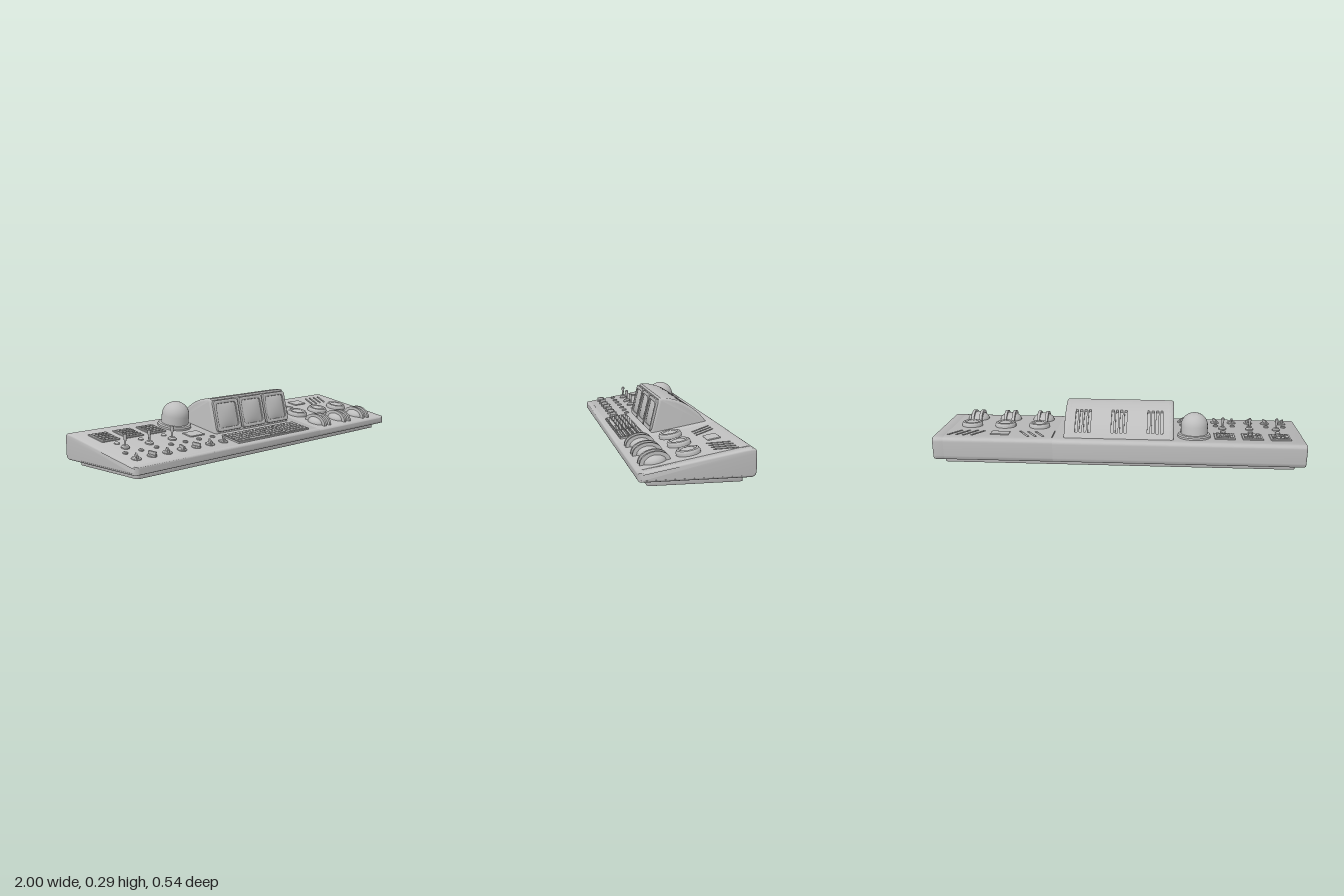
import * as THREE from 'three';
import { toCreasedNormals } from 'three/addons/utils/BufferGeometryUtils.js';
import { RoundedBoxGeometry } from 'three/addons/geometries/RoundedBoxGeometry.js';

const grey = new THREE.MeshStandardMaterial({ color: 0xbebebe });
grey.name = 'console grey';

function part(parent, name, geometry, x = 0, y = 0, z = 0) {
  const mesh = new THREE.Mesh(geometry, grey);
  mesh.name = name;
  mesh.position.set(x, y, z);
  parent.add(mesh);
  return mesh;
}

function group(parent, name, x = 0, y = 0, z = 0) {
  const g = new THREE.Group();
  g.name = name;
  g.position.set(x, y, z);
  parent.add(g);
  return g;
}

// Shape in (z, y), extruded across x from x0 to x1; limitX(z) optionally caps |x|
function across(shape, x0, x1, bevel = 0, limitX = null) {
  const geo = new THREE.ExtrudeGeometry(shape, {
    depth: x1 - x0 - 2 * bevel, bevelEnabled: bevel > 0, bevelThickness: bevel,
    bevelSize: bevel, bevelOffset: -bevel, bevelSegments: 4, curveSegments: 6
  });
  geo.translate(0, 0, -(x1 - x0) / 2 + bevel);
  geo.rotateY(-Math.PI / 2);
  geo.translate((x0 + x1) / 2, 0, 0);
  const pos = geo.attributes.position;
  for (let i = 0; limitX && i < pos.count; i++) {
    const m = limitX(pos.getZ(i));
    pos.setX(i, THREE.MathUtils.clamp(pos.getX(i), -m, m));
  }
  return toCreasedNormals(geo, 0.6);
}

function roundedRect(w, h, r, Type = THREE.Shape) {
  const s = new Type(), x = w / 2, y = h / 2;
  s.moveTo(-x + r, -y);
  s.lineTo(x - r, -y).quadraticCurveTo(x, -y, x, -y + r);
  s.lineTo(x, y - r).quadraticCurveTo(x, y, x - r, y);
  s.lineTo(-x + r, y).quadraticCurveTo(-x, y, -x, y - r);
  s.lineTo(-x, -y + r).quadraticCurveTo(-x, -y, -x + r, -y);
  return s;
}

// Rounded frame lying in xy, facing +z
function frame(w, h, rim, depth, r, bevel = 0.003) {
  const s = roundedRect(w, h, r);
  s.holes.push(roundedRect(w - 2 * rim, h - 2 * rim, r * 0.8, THREE.Path));
  const geo = new THREE.ExtrudeGeometry(s, {
    depth: depth - bevel, bevelThickness: bevel, bevelSize: bevel, bevelOffset: -bevel,
    bevelSegments: 2, curveSegments: 5
  });
  return toCreasedNormals(geo, 0.6);
}

const lathe = (pts, n = 32) =>
  toCreasedNormals(new THREE.LatheGeometry(pts.map(p => new THREE.Vector2(...p)), n), 0.6);

// Wedge-shaped body profile, optionally stepped down behind the vent plate
function bodyShape(stepped) {
  const s = new THREE.Shape(), top = z => 0.117 - 0.18 * z;
  s.moveTo(0.24, 0.028).lineTo(0.25, 0.028).lineTo(0.258, 0.028);
  s.quadraticCurveTo(0.27, 0.028, 0.27, 0.042).lineTo(0.27, 0.06);
  s.quadraticCurveTo(0.27, 0.0685, 0.258, 0.0705).lineTo(0.25, top(0.25)).lineTo(0.24, top(0.24));
  if (stepped) {
    s.lineTo(-0.08, top(-0.08)).lineTo(-0.08, top(-0.08) - 0.014);
    s.lineTo(-0.215, top(-0.215) - 0.014);
  }
  s.lineTo(-0.215, top(-0.215));
  s.quadraticCurveTo(-0.235, 0.16, -0.25, 0.16).quadraticCurveTo(-0.27, 0.16, -0.27, 0.138);
  s.lineTo(-0.27, 0.058).quadraticCurveTo(-0.27, 0.028, -0.24, 0.028).closePath();
  return s;
}

function addBody(root) {
  const body = group(root, 'body');
  const limitX = z => 0.97 + Math.sqrt(Math.max(0, 0.03 ** 2 - Math.max(0, z - 0.24) ** 2));
  part(body, 'bodyRight', across(bodyShape(false), -1, 0.36, 0.01, limitX));
  part(body, 'bodyVented', across(bodyShape(true), 0.35, 0.94));
  part(body, 'bodyLeft', across(bodyShape(false), 0.93, 1, 0.01, limitX));
  // Hollow plinth: a thin skirt open underneath
  part(root, 'plinthSkirt', frame(1.9, 0.445, 0.009, 0.031, 0.02, 0.001)).rotation.x = -Math.PI / 2;
}

function addHood(root) {
  const hood = group(root, 'monitorHood');
  const back = new THREE.SplineCurve([[0.025, 0.285], [-0.02, 0.282], [-0.08, 0.265], [-0.13, 0.238],
    [-0.18, 0.2], [-0.225, 0.15]].map(p => new THREE.Vector2(...p))).getPoints(30);
  const front = [[-0.2, 0.13], [0.075, 0.085], [0.075, 0.11], [0.034, 0.278]].map(p => new THREE.Vector2(...p));
  const lower = p => new THREE.Vector2(p.x, p.y - 0.013);
  const a = 12, b = 26;
  const full = new THREE.Shape([...front, ...back]);
  const grooved = new THREE.Shape([...front, ...back.slice(0, a + 1),
    ...back.slice(a, b + 1).map(lower), ...back.slice(b)]);
  const skin = back.slice(a, b + 1);
  const strip = new THREE.Shape([...skin, ...skin.map(lower).reverse()]);
  part(hood, 'hoodLeftEnd', across(full, 0.25, 0.296, 0.014));
  part(hood, 'hoodRightEnd', across(full, -0.296, -0.25, 0.014));
  part(hood, 'hoodCore', across(grooved, -0.28, 0.28));
  // Skin strips leave open cooling slots between them
  let x = -0.28;
  for (const cx of [-0.195, 0, 0.195]) {
    for (let i = 0; i < 4; i++) {
      const s = cx + (i - 1.5) * 0.0235;
      part(hood, 'hoodSkin', across(strip, x, s - 0.0065));
      x = s + 0.0065;
    }
  }
  part(hood, 'hoodSkin', across(strip, x, 0.28));

  // Three monitors with domed glass
  for (const cx of [-0.195, 0, 0.195]) {
    const monitor = group(hood, 'monitor', cx, 0.193, 0.0555);
    monitor.rotation.x = -0.235;
    part(monitor, 'bezel', frame(0.184, 0.168, 0.019, 0.011, 0.02));
    const glass = new THREE.PlaneGeometry(0.154, 0.138, 12, 12);
    const pos = glass.attributes.position;
    for (let i = 0; i < pos.count; i++) {
      const u = pos.getX(i) / 0.077, v = pos.getY(i) / 0.069;
      pos.setZ(i, 0.003 + 0.012 * (1 - u * u) * (1 - v * v) ** 0.8);
    }
    glass.computeVertexNormals();
    part(monitor, 'screen', glass);
  }
}

function addLeftHandControls(panel) {
  // Button pads, lamps and toggle switches
  for (const x of [-0.872, -0.722, -0.572]) {
    const pad = group(panel, 'buttonPad', x, 0, -0.127);
    part(pad, 'padPlate', new RoundedBoxGeometry(0.11, 0.016, 0.118, 2, 0.003), 0, -0.002, 0);
    for (let i = 0; i < 16; i++) {
      part(pad, 'padButton', new THREE.BoxGeometry(0.018, 0.008, 0.019),
        (i % 4 - 1.5) * 0.0235, 0.006, (Math.floor(i / 4) - 1.5) * 0.0255);
    }
    part(panel, 'lamp', lathe([[0.014, -0.004], [0.014, 0.004], [0.009, 0.008], [0, 0.01]], 16), x, 0, -0.027);
    const toggle = group(panel, 'toggleSwitch', x, 0, 0.04);
    part(toggle, 'toggleBase', lathe([[0.021, -0.004], [0.021, 0.006], [0.014, 0.014], [0, 0.016]], 20));
    const lever = part(toggle, 'toggleLever',
      lathe([[0.005, 0], [0.005, 0.03], [0.009, 0.058], [0.009, 0.066], [0.005, 0.071], [0, 0.072]], 14));
    lever.rotation.x = -0.18;
  }
  // Row of small push buttons above a row of pointer knobs
  for (let i = 0; i < 7; i++) {
    const x = -0.92 + i * 0.0955;
    part(panel, 'pushButton', lathe([[0.013, -0.004], [0.013, 0.005], [0.009, 0.009], [0, 0.01]], 16), x, 0, 0.102);
    const knob = group(panel, 'pointerKnob', x, 0, 0.183);
    part(knob, 'knobBase', lathe([[0.024, -0.004], [0.024, 0.004], [0.019, 0.008], [0, 0.009]], 20));
    part(knob, 'knobGrip', new RoundedBoxGeometry(0.011, 0.02, 0.042, 2, 0.003), 0, 0.014, 0);
    knob.rotation.y = [-0.5, 0.4, -0.5, -0.2, 0.4, -0.5, -0.6][i];
  }
  part(panel, 'blankButton', new RoundedBoxGeometry(0.1, 0.016, 0.065, 2, 0.004), -0.41, -0.002, 0.025);
  // Beacon dome on a stepped collar
  const profile = [[0.09, -0.01], [0.09, 0.01], [0.084, 0.017], [0.073, 0.019], [0.073, 0.062]];
  for (let i = 1; i <= 8; i++) {
    const t = i / 8 * Math.PI / 2;
    profile.push([i === 8 ? 0 : 0.073 * Math.cos(t), 0.062 + 0.071 * Math.sin(t)]);
  }
  part(panel, 'beaconDome', lathe(profile, 28), -0.407, 0, -0.13);
}

function addKeyboard(panel) {
  const keyboard = group(panel, 'keyboard', -0.003, 0, 0.178);
  part(keyboard, 'keyboardFrame', frame(0.575, 0.128, 0.007, 0.009, 0.006)).rotation.x = -Math.PI / 2;
  const key = (x, row, w) =>
    part(keyboard, 'key', new THREE.BoxGeometry(w, 0.02, 0.019), x, 0, -0.046 + row * 0.023);
  for (let row = 0; row < 5; row++) {
    for (let c = 0; c < 14; c++) {
      if (row === 4 && c > 2 && c < 10) continue;
      key(-0.262 + c * 0.0262 + (row % 2) * 0.004, row, 0.0225);
    }
    for (let c = 0; c < 6; c++) key(0.128 + c * 0.0272, row, 0.0235);
  }
  key(-0.105, 4, 0.175);
}

function addRightHandControls(panel) {
  for (const x of [0.457, 0.65, 0.84]) {
    // Large round button with a raised rim
    part(panel, 'roundButton', lathe([[0.058, -0.005], [0.058, 0.014], [0.052, 0.023], [0.043, 0.026],
      [0.037, 0.022], [0.034, 0.021], [0.028, 0.024], [0, 0.026]]), x, 0, 0.009);
    // Thumb wheel: low dome between two half-disc cheeks
    const wheel = group(panel, 'thumbWheel', x, 0, 0.173);
    part(wheel, 'wheelDome', new THREE.SphereGeometry(0.061, 32, 10, 0, Math.PI * 2, 0, Math.PI / 2)).scale.y = 0.66;
    for (const side of [-1, 1]) {
      const cheek = new THREE.CylinderGeometry(0.073, 0.073, 0.016, 36);
      cheek.rotateZ(Math.PI / 2);
      part(wheel, 'wheelCheek', cheek, side * 0.023).scale.y = 0.69;
    }
  }
  // Plate over the body step, pierced by slanted vents mirrored about a blank button
  const x0 = 0.36, x1 = 0.94, y0 = 0.08 * 1.016, y1 = 0.215 * 1.016;
  const plate = new THREE.Shape([[x0, y0], [x1, y0], [x1, y1], [x0, y1]].map(p => new THREE.Vector2(...p)));
  for (const side of [-1, 1]) {
    for (let i = 0; i < 4; i++) {
      const cx = 0.645 + side * (0.127 + i * 0.042);
      const lean = side * 0.029, w = 0.0065;
      plate.holes.push(new THREE.Path([[cx - lean - w, 0.103], [cx - lean + w, 0.103],
        [cx + lean + w, 0.207], [cx + lean - w, 0.207]].map(p => new THREE.Vector2(...p))));
    }
  }
  const sheet = new THREE.ExtrudeGeometry(plate, { depth: 0.0137, bevelEnabled: false });
  part(panel, 'ventPlate', sheet, 0, -0.0137, 0).rotation.x = -Math.PI / 2;
  part(panel, 'blankButton', new RoundedBoxGeometry(0.1, 0.016, 0.065, 2, 0.004), 0.65, -0.002, -0.156);
}

export function createModel() {
  const root = new THREE.Group();
  root.name = 'controlConsole';
  addBody(root);

  // Controls sit on a group tilted to match the sloping top
  const panel = group(root, 'controlPanel', 0, 0.117, 0);
  panel.rotation.x = Math.atan(0.18);
  addLeftHandControls(panel);
  addKeyboard(panel);
  addRightHandControls(panel);

  addHood(root);
  return root;
}
